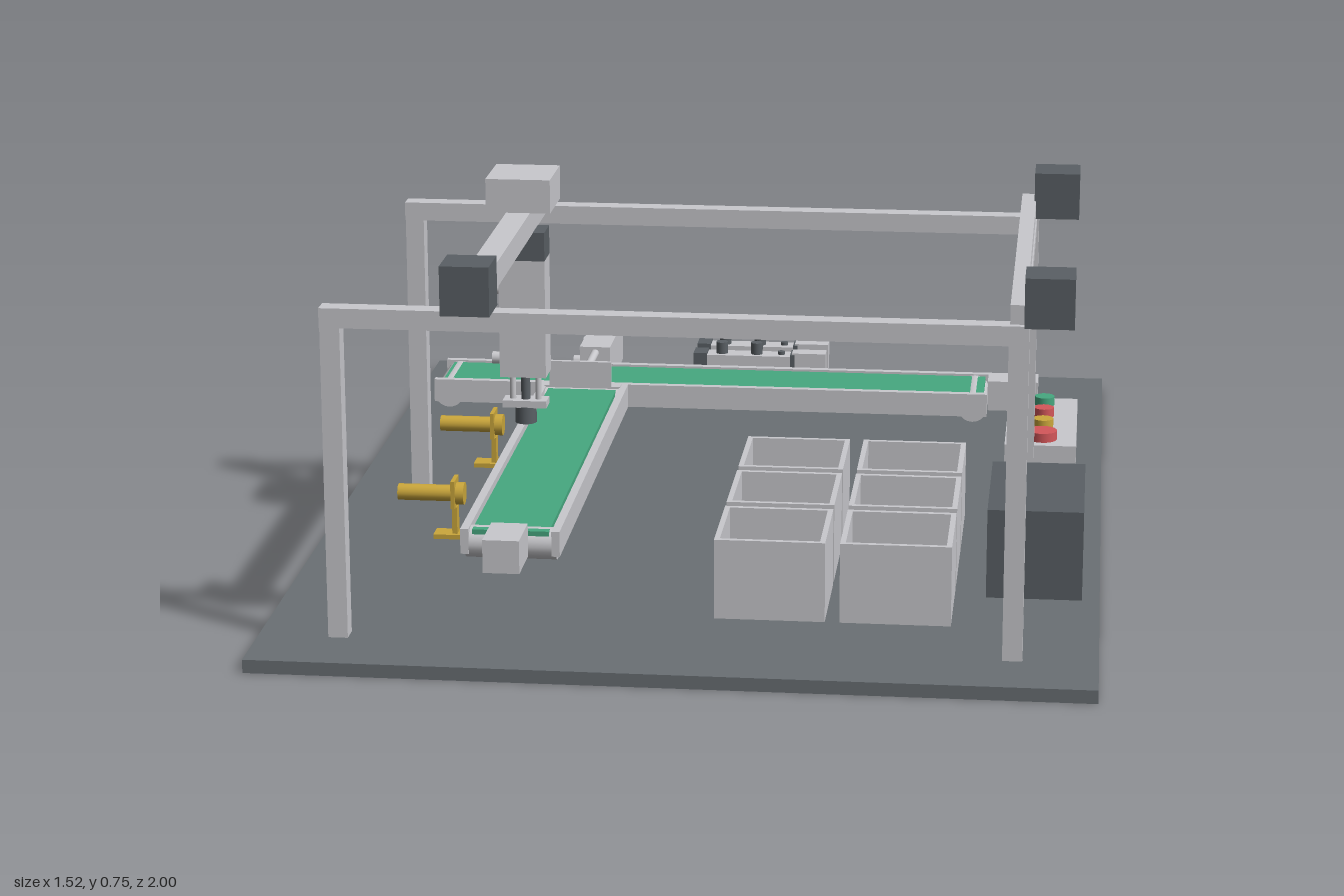
import * as THREE from 'three';

const flat = (name, color) => {
  const m = new THREE.MeshStandardMaterial({ color });
  m.name = name;
  return m;
};

export function createModel() {
  const root = new THREE.Group();
  root.name = 'sortingStation';
  const light = flat('light grey metal', 0xc9c9cd);
  const slate = flat('slate base', 0x6a7074);
  const dark = flat('dark grey', 0x5a6065);
  const green = flat('belt green', 0x47a880);
  const yellow = flat('sensor yellow', 0xcba73c);
  const red = flat('button red', 0xd4575a);

  const add = (name, geo, mat, x, y, z, parent = root) => {
    const m = new THREE.Mesh(geo, mat);
    m.name = name;
    m.position.set(x, y, z);
    parent.add(m);
    return m;
  };
  // Box from its minimum and maximum on each axis
  const box = (name, mat, x0, x1, y0, y1, z0, z1, parent) =>
    add(name, new THREE.BoxGeometry(x1 - x0, y1 - y0, z1 - z0), mat,
      (x0 + x1) / 2, (y0 + y1) / 2, (z0 + z1) / 2, parent);
  // Cylinder along a chosen axis
  const rod = (name, mat, r, len, axis, x, y, z, parent) => {
    const g = new THREE.CylinderGeometry(r, r, len, 20);
    if (axis === 'x') g.rotateZ(Math.PI / 2);
    if (axis === 'z') g.rotateX(Math.PI / 2);
    return add(name, g, mat, x, y, z, parent);
  };
  const group = (name, x = 0, y = 0, z = 0) => {
    const g = new THREE.Group();
    g.name = name;
    g.position.set(x, y, z);
    root.add(g);
    return g;
  };

  box('basePlate', slate, -0.76, 0.76, 0, 0.025, -1, 1);

  // Gantry frame: legs, long rails, side beams, drive motors
  const frame = group('gantryFrame');
  for (const z of [0.02, 0.85]) {
    for (const x of [-0.613, 0.606])
      box('leg', light, x - 0.018, x + 0.018, 0.025, 0.61, z - 0.018, z + 0.018, frame);
    box('longRail', light, -0.632, 0.624, 0.606, 0.642, z - 0.018, z + 0.018, frame);
    box('driveMotor', dark, 0.615, 0.702, 0.645, 0.735, z - 0.044, z + 0.044, frame);
  }
  box('sideBeam', light, 0.59, 0.62, 0.612, 0.64, 0.03, 0.84, frame);
  box('driveShaft', light, 0.59, 0.618, 0.645, 0.68, 0, 0.866, frame);

  // Travelling beam with its carriage
  const beam = group('crossBeam', -0.362);
  box('beam', light, -0.023, 0.023, 0.643, 0.69, 0, 0.85, beam);
  box('beamMotor', dark, -0.044, 0.044, 0.645, 0.735, 0.825, 0.912, beam);
  box('carriage', light, -0.062, 0.062, 0.69, 0.755, 0.174, 0.307, beam);

  // Pneumatic cylinder along local y, piston towards -y, head at y = 0
  const cylinder = (name) => {
    const g = group(name);
    box('body', light, -0.045, 0.045, -0.235, -0.002, -0.033, 0.033, g);
    box('endCap', dark, -0.045, 0.045, -0.002, 0.016, -0.033, 0.033, g);
    for (const y of [-0.065, -0.205])
      rod('airPort', light, 0.012, 0.02, 'x', -0.054, y, 0, g);
    return g;
  };
  const lift = cylinder('liftCylinder');
  lift.position.set(-0.362, 0.59, 0.243);
  box('hanger', dark, -0.045, 0.045, 0.016, 0.054, -0.033, 0.033, lift);
  for (const x of [-0.025, 0.025])
    rod('guideRod', light, 0.006, 0.06, 'y', x, -0.26, 0, lift);
  rod('piston', dark, 0.009, 0.06, 'y', 0, -0.26, 0, lift);
  box('gripperPlate', light, -0.043, 0.043, -0.3, -0.286, -0.02, 0.02, lift);
  rod('suctionCup', dark, 0.021, 0.034, 'y', 0, -0.316, 0, lift);

  // Pusher at the back, lying along z with its ports to the side
  const pusher = group('pusher', -0.366);
  box('pusherBody', light, -0.034, 0.034, 0.045, 0.132, -0.99, -0.765, pusher);
  for (const z of [-0.96, -0.8])
    rod('pusherPort', light, 0.012, 0.02, 'x', -0.042, 0.09, z, pusher);
  rod('pusherRod', light, 0.009, 0.235, 'z', 0, 0.118, -0.65, pusher);
  box('pusherPlate', light, -0.067, 0.067, 0.107, 0.163, -0.541, -0.531, pusher);

  // Belt conveyor along local x, centred, motor at +x
  const conveyor = (name, len, width) => {
    const g = group(name);
    const h = len / 2, w = width / 2;
    box('belt', green, -h + 0.018, h - 0.008, 0.06, 0.102, -w + 0.014, w - 0.014, g);
    for (const s of [-1, 1]) {
      box('sideRail', light, -h, h, 0.055, 0.105, s * w - 0.008, s * w + 0.008, g);
      rod('endRoller', light, 0.031, width, 'x', s * (h - 0.031), 0.072, 0, g).rotation.y = Math.PI / 2;
    }
    box('motorBox', light, h, h + 0.108, 0.055, 0.12, -0.035, 0.035, g);
    return g;
  };
  conveyor('longConveyor', 1.205, 0.16).position.set(-0.09, 0, -0.652);
  const feeder = conveyor('feedConveyor', 1.03, 0.176);
  feeder.position.set(-0.362, 0, -0.052);
  feeder.rotation.y = -Math.PI / 2;
  box('feedEndPlate', light, -0.445, -0.28, 0.06, 0.107, -0.565, -0.535);

  // Yellow belt sensors on angle brackets
  for (const z of [-0.135, 0.335]) {
    const s = group('sensor', 0, 0, z);
    rod('sensorBarrel', yellow, 0.016, 0.12, 'x', -0.54, 0.135, 0, s);
    rod('sensorNut', yellow, 0.022, 0.02, 'x', -0.48, 0.135, 0, s);
    box('bracketPlate', yellow, -0.494, -0.486, 0.11, 0.165, -0.025, 0.025, s);
    box('bracketPost', yellow, -0.494, -0.484, 0.05, 0.11, -0.012, 0.012, s);
    box('bracketFoot', yellow, -0.53, -0.46, 0.047, 0.056, -0.02, 0.02, s);
  }

  // Open sorting bins, two by three
  for (const x of [0.157, 0.388]) for (const z of [0.146, 0.374, 0.602]) {
    const b = group('bin', x, 0, z);
    box('binFloor', light, -0.1, 0.1, 0.028, 0.038, -0.1, 0.1, b);
    for (const s of [-1, 1]) {
      box('binSide', light, s * 0.097 - 0.005, s * 0.097 + 0.005, 0.028, 0.18, -0.102, 0.102, b);
      box('binEnd', light, -0.092, 0.092, 0.028, 0.18, s * 0.097 - 0.005, s * 0.097 + 0.005, b);
    }
  }

  box('controlCabinet', dark, 0.548, 0.727, 0.025, 0.197, 0.22, 0.528);

  // Push-button console
  const desk = group('console');
  box('consoleBody', light, 0.56, 0.707, 0.025, 0.097, -0.58, -0.225, desk);
  [[-0.53, 0.021, green], [-0.445, 0.021, red], [-0.362, 0.021, yellow], [-0.275, 0.03, red]]
    .forEach(([z, r, m]) => rod('button', m, r, 0.02, 'y', 0.637, 0.106, z, desk));

  // Valve pair at the back
  for (const z of [-0.915, -0.835]) {
    const v = group('valve', 0, 0, z);
    box('valveBase', light, -0.13, 0.125, 0.025, 0.05, -0.022, 0.022, v);
    box('valveBody', light, -0.12, 0.07, 0.05, 0.108, -0.022, 0.022, v);
    box('valveEnd', dark, -0.15, -0.12, 0.045, 0.112, -0.024, 0.024, v);
    box('solenoid', light, 0.07, 0.145, 0.055, 0.115, -0.018, 0.018, v);
    box('solenoidCollar', dark, 0.066, 0.076, 0.05, 0.112, -0.024, 0.024, v);
    for (const x of [-0.088, -0.01])
      rod('valveFitting', dark, 0.013, 0.026, 'y', x, 0.121, 0, v);
    rod('valveScrew', dark, 0.008, 0.008, 'y', 0.045, 0.111, 0, v);
  }
  return root;
}
